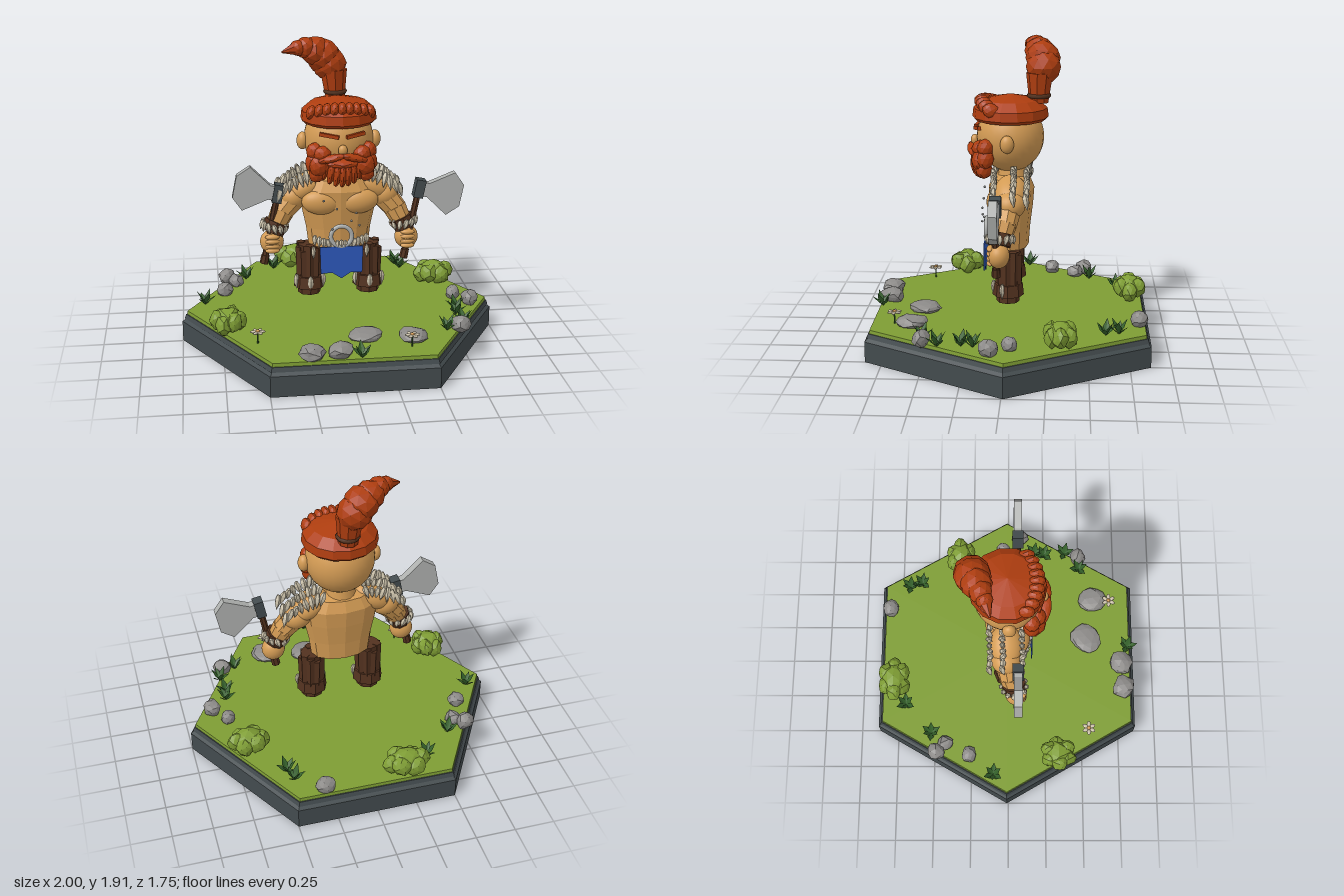
import * as THREE from 'three';

const mat = (name, color) => Object.assign(new THREE.MeshStandardMaterial({ color }), { name });
const M = {
  skin: mat('skin', 0xd39b54), hair: mat('hair', 0xae3d0f), bone: mat('bone', 0xcbc1aa),
  leather: mat('leather', 0x53321f), cloth: mat('cloth', 0x2d58bb), grass: mat('grass', 0x7e9d34),
  leaf: mat('leaf', 0x34602a), stone: mat('stone', 0x8c8a88), steel: mat('steel', 0xb0b2b0),
  slate: mat('slate', 0x434b4e),
};
M.leaf.side = M.cloth.side = THREE.DoubleSide;

// Faceted copy of a geometry
function flat(g) {
  const f = g.index ? g.toNonIndexed() : g;
  f.computeVertexNormals();
  return f;
}
function add(parent, name, geo, material, pos = [0, 0, 0], scale = [1, 1, 1], rot = [0, 0, 0]) {
  const m = new THREE.Mesh(geo, material);
  m.name = name;
  m.position.set(...pos);
  m.scale.set(...scale);
  m.rotation.set(...rot);
  parent.add(m);
  return m;
}
// Lumpy low-poly ball: each corner is pushed in or out by a rule of its direction
function lump(seed, amount = 0.12, detail = 1) {
  const g = new THREE.IcosahedronGeometry(1, detail), p = g.attributes.position;
  const v = new THREE.Vector3();
  for (let i = 0; i < p.count; i++) {
    v.fromBufferAttribute(p, i);
    const k = 1 + amount * Math.sin(v.x * 7.1 + seed * 2.3) * Math.cos(v.y * 5.3 + v.z * 6.7 + seed);
    p.setXYZ(i, v.x * k, v.y * k, v.z * k);
  }
  return flat(g);
}
const lathe = (pts, n) => new THREE.LatheGeometry(pts.map(p => new THREE.Vector2(...p)), n);
const ball = new THREE.SphereGeometry(1, 28, 18);
const blob = lump(1, 0.05);
const tuft = flat(lathe([[0, -0.5], [0.3, -0.05], [0.32, 0.2], [0.18, 0.45], [0, 0.5]], 5));

// Tapered limb between two points
function limb(parent, name, material, a, b, ra, rb, sides) {
  const A = new THREE.Vector3(...a), B = new THREE.Vector3(...b), d = B.clone().sub(A);
  const m = add(parent, name, flat(new THREE.CylinderGeometry(rb, ra, d.length(), sides)), material);
  m.position.copy(A).add(B).multiplyScalar(0.5);
  m.quaternion.setFromUnitVectors(new THREE.Vector3(0, 1, 0), d.normalize());
  return m;
}
function group(parent, name) {
  const g = new THREE.Group();
  g.name = name;
  parent.add(g);
  return g;
}

function buildBase(root) {
  const g = group(root, 'base');
  g.position.z = -0.01;
  const hex = (name, rTop, rBot, y0, y1, m) => add(g, name,
    flat(new THREE.CylinderGeometry(rTop, rBot, y1 - y0, 6)), m, [0, (y0 + y1) / 2, 0], [1, 1, 1], [0, Math.PI / 2, 0]);
  hex('plinth', 1, 1, 0, 0.13, M.slate);
  hex('plinthBevel', 0.975, 1, 0.13, 0.15, M.slate);
  hex('plinthRim', 0.975, 0.985, 0.15, 0.178, M.slate);
  hex('lawn', 0.965, 0.968, 0.178, 0.2, M.grass);
}

function buildScenery(root) {
  const g = group(root, 'scenery');
  // x, z, radius, height
  [[0.31, -0.81, 0.062, 0.1], [-0.7, -0.48, 0.06, 0.1], [-0.64, -0.42, 0.055, 0.08], [-0.72, -0.26, 0.055, 0.09],
    [0.755, -0.035, 0.05, 0.09], [0.84, 0.08, 0.06, 0.1], [0.695, 0.485, 0.058, 0.1], [0.1, 0.53, 0.11, 0.06],
    [0.38, 0.58, 0.1, 0.07], [-0.25, 0.78, 0.08, 0.09], [-0.08, 0.765, 0.082, 0.09]].forEach(([x, z, r, h], i) =>
    add(g, 'rock', lump(i, 0.12), M.stone, [x, 0.195 + h * 0.42, z], [r, h * 0.55, r * 0.88], [0, i, 0]));

  // Bushes: a ring of lumps around a taller core
  [[-0.21, -0.77, 0.145, 0.105], [0.68, -0.33, 0.13, 0.1], [-0.72, 0.33, 0.11, 0.115]].forEach(([x, z, rx, rz], i) => {
    const b = group(g, 'bush');
    add(b, 'bushCore', lump(i, 0.1), M.grass, [x, 0.275, z], [rx * 0.75, 0.075, rz * 0.8]);
    for (let k = 0; k < 6; k++) {
      const a = k * Math.PI / 3 + i;
      add(b, 'bushLump', lump(k + i), M.grass,
        [x + Math.cos(a) * rx * 0.58, 0.262 + 0.015 * (k % 2), z + Math.sin(a) * rz * 0.58], [rx * 0.45, 0.062, rz * 0.48]);
    }
  });

  // Leafy weeds: folded blades fanning outwards
  const blade = new THREE.BufferGeometry();
  blade.setAttribute('position', new THREE.Float32BufferAttribute([
    0, 0, 0, 0.03, 0.045, 0.014, 0.03, 0.035, 0, 0.03, 0.045, 0.014, 0.068, 0.085, 0, 0.03, 0.035, 0,
    0, 0, 0, 0.03, 0.035, 0, 0.03, 0.045, -0.014, 0.03, 0.035, 0, 0.068, 0.085, 0, 0.03, 0.045, -0.014], 3));
  blade.computeVertexNormals();
  [[-0.37, -0.69], [-0.57, -0.515], [-0.85, -0.1], [0.475, -0.68], [0.5, -0.6], [0.73, 0.18], [0.715, 0.25],
    [0.73, 0.39], [0.61, 0.49], [0.04, 0.81]].forEach(([x, z], i) => {
    const w = group(g, 'weed');
    w.position.set(x, 0.2, z);
    for (let k = 0; k < 6; k++) {
      const s = k % 2 ? 0.8 : 1;
      add(w, 'weedLeaf', blade, M.leaf, [0, 0, 0], [s, k % 2 ? 1.1 : 0.75, 1.5], [0, k * Math.PI / 3 + i, 0]);
    }
  });

  // Flowers
  for (const [x, z] of [[-0.55, 0.535], [0.355, 0.69]]) {
    const f = group(g, 'flower');
    limb(f, 'flowerStem', M.leaf, [x, 0.2, z], [x, 0.27, z], 0.005, 0.005, 5);
    add(f, 'flowerHeart', blob, M.skin, [x, 0.278, z], [0.013, 0.01, 0.013]);
    for (let k = 0; k < 6; k++) {
      const a = k * Math.PI / 3;
      add(f, 'petal', blob, M.bone, [x + Math.cos(a) * 0.028, 0.274, z + Math.sin(a) * 0.028], [0.019, 0.007, 0.013], [0, -a, 0]);
    }
  }
}

function buildBody(root) {
  const g = group(root, 'body');
  add(g, 'torso', flat(lathe([[0, 0.62], [0.19, 0.62], [0.205, 0.74], [0.235, 0.88], [0.25, 0.99], [0.2, 1.06], [0, 1.09]], 12)),
    M.skin, [0, 0, -0.012], [1, 1, 0.57]);
  add(g, 'neck', new THREE.CylinderGeometry(0.08, 0.1, 0.12, 16), M.skin, [0, 1.09, -0.02]);
  // Fur belt, ring buckle and loincloth
  for (let i = -6; i <= 6; i++) {
    const x = i * 0.027, y = 0.655 + 0.025 * (i / 6) ** 2;
    add(g, 'beltFur', tuft, M.bone, [x, y, 0.145 - 1.4 * x * x], [0.055, 0.075, 0.05], [0, i, i % 2 * 0.25]);
  }
  add(g, 'buckleRing', new THREE.TorusGeometry(0.066, 0.014, 8, 20), M.steel, [0, 0.715, 0.145]);
  const cloth = new THREE.Shape([[-0.135, 0.65], [-0.13, 0.475], [-0.06, 0.48], [0, 0.44], [0.06, 0.48], [0.13, 0.475], [0.135, 0.65]]
    .map(p => new THREE.Vector2(...p)));
  add(g, 'loincloth', new THREE.ExtrudeGeometry(cloth, { depth: 0.008, bevelEnabled: false }), M.cloth, [0, 0, 0.148]);
  // Chest studs
  [[-0.11, 0.955], [0.09, 0.87], [0.06, 0.82], [0.11, 0.79], [-0.03, 0.9], [-0.06, 0.77]].forEach(([x, y]) =>
    add(g, 'stud', blob, M.steel, [x, y, 0.165], [0.008, 0.008, 0.008]));

  for (const s of [1, -1]) {
    add(g, 'chestMuscle', ball, M.skin, [s * 0.115, 0.92, 0.075], [0.125, 0.08, 0.062], [0, 0, s * 0.08]);
    // Arm, bracer and hand
    const arm = group(g, s > 0 ? 'leftArm' : 'rightArm');
    add(arm, 'shoulder', ball, M.skin, [s * 0.285, 0.94, -0.015], [0.095, 0.085, 0.095]);
    limb(arm, 'upperArm', M.skin, [s * 0.27, 0.95, -0.01], [s * 0.37, 0.83, 0.01], 0.085, 0.07, 9);
    limb(arm, 'forearm', M.skin, [s * 0.355, 0.85, 0.01], [s * 0.41, 0.74, 0.035], 0.075, 0.06, 9);
    limb(arm, 'bracer', M.leather, [s * 0.39, 0.79, 0.03], [s * 0.42, 0.725, 0.04], 0.08, 0.07, 9);
    for (let k = 0; k < 12; k++) {
      const a = k * Math.PI / 6;
      add(arm, 'wristFur', tuft, M.bone, [s * (0.41 + 0.075 * Math.cos(a)), 0.762 + 0.015 * Math.cos(a), 0.035 + 0.078 * Math.sin(a)],
        [0.055, 0.07, 0.055], [0, k, s * 0.3]);
    }
    add(arm, 'hand', ball, M.skin, [s * 0.425, 0.665, 0.045], [0.074, 0.076, 0.066]);
    for (let k = 0; k < 4; k++)
      add(arm, 'finger', ball, M.skin, [s * 0.425, 0.71 - k * 0.03, 0.095], [0.045, 0.017, 0.022]);
    // Fur rows running from the neck over the shoulder
    [[0.085, 0], [-0.035, 0.015], [-0.115, 0]].forEach(([z, dy]) => {
      for (let k = 0; k < 8; k++)
        add(g, 'shoulderFur', tuft, M.bone, [s * (0.14 + k * 0.034), 1.095 + dy - k * 0.004 - 0.0017 * k * k, z],
          [0.062, 0.105, 0.06], [0, k, s * 0.3]);
    });
    add(g, 'shoulderPad', ball, M.skin, [s * 0.21, 1.0, -0.015], [0.14, 0.08, 0.1], [0, 0, -s * 0.5]);

    // Leg: strapped planks, cuff, shoe and claws
    const leg = group(g, s > 0 ? 'leftLeg' : 'rightLeg'), x = s * 0.188;
    add(leg, 'legCore', flat(new THREE.CylinderGeometry(0.07, 0.065, 0.3, 10)), M.leather, [x, 0.475, -0.005]);
    for (let k = 0; k < 9; k++) {
      const a = k * Math.PI * 2 / 9, h = 0.23 - 0.02 * (k % 3);
      add(leg, 'legPlank', flat(new THREE.CylinderGeometry(0.03, 0.024, h, 5)), M.leather,
        [x + Math.sin(a) * 0.058, 0.4 + h / 2, -0.005 + Math.cos(a) * 0.058], [1, 1, 1], [0, a, 0]);
    }
    add(leg, 'bootCuff', flat(new THREE.CylinderGeometry(0.09, 0.098, 0.075, 8)), M.leather, [x, 0.382, 0]);
    add(leg, 'shoe', flat(new THREE.CylinderGeometry(0.072, 0.072, 0.05, 8)), M.leather, [x, 0.327, 0]);
    for (const a of [-1.2, 0, 1.2])
      add(leg, 'bootClaw', tuft, M.bone, [x + Math.sin(a) * 0.09, 0.385, Math.cos(a) * 0.09], [0.06, 0.1, 0.05]);
    add(leg, 'kneeClaw', tuft, M.bone, [x - s * 0.02, 0.59, 0.085], [0.045, 0.09, 0.04]);
  }
}

function buildAxe(root, s) {
  const g = group(root, s > 0 ? 'leftAxe' : 'rightAxe');
  g.position.set(s > 0 ? 0.5 : -0.385, 0.985, 0.06);
  g.rotation.z = -0.2;
  limb(g, 'axeHandle', M.leather, [0, -0.46, 0], [0, 0.05, 0], 0.022, 0.02, 7);
  limb(g, 'axePommel', M.leather, [0, -0.465, 0], [0, -0.41, 0], 0.028, 0.026, 7);
  add(g, 'axeSocket', new THREE.BoxGeometry(0.06, 0.115, 0.07), M.slate);
  const half = [[0.03, 0.045], [0.055, 0.045], [0.2, 0.14], [0.272, 0.07]];
  const pts = [...half, ...half.map(([x, y]) => [x, -y]).reverse()].map(([x, y]) => new THREE.Vector2(s * x, y));
  add(g, 'axeBlade', new THREE.ExtrudeGeometry(new THREE.Shape(pts), { depth: 0.052, bevelEnabled: false }),
    M.steel, [0, 0, -0.026]);
}

function buildHead(root) {
  const g = group(root, 'head');
  add(g, 'skull', ball, M.skin, [0, 1.31, -0.005], [0.215, 0.22, 0.208]);
  add(g, 'nose', ball, M.skin, [0, 1.285, 0.215], [0.028, 0.034, 0.026]);
  // Hair cap and fringe
  add(g, 'hairCap', flat(lathe([[0, 1.415], [0.215, 1.415], [0.235, 1.435], [0.228, 1.49], [0.17, 1.54], [0, 1.575]], 14)),
    M.hair, [0, 0, -0.005]);
  for (let i = -4; i <= 4; i++) {
    const x = i * 0.045;
    add(g, 'fringeLock', blob, M.hair, [x, 1.525 - 0.0018 * i * i, 0.165 - 1.9 * x * x], [0.03, 0.045, 0.055], [-0.4, 0, i * 0.06]);
  }
  // Swept topknot: x, y, z, radius
  add(g, 'topknotTie', new THREE.TorusGeometry(0.062, 0.014, 6, 14), M.leather, [0, 1.565, -0.18], [1, 1, 1], [Math.PI / 2, 0, 0]);
  limb(g, 'topknotStem', M.hair, [0, 1.52, -0.18], [-0.01, 1.7, -0.185], 0.06, 0.085, 9);
  [[-0.035, 1.735, -0.205, 0.108], [-0.075, 1.785, -0.2, 0.107], [-0.125, 1.82, -0.18, 0.092], [-0.185, 1.845, -0.155, 0.068],
    [-0.235, 1.848, -0.132, 0.05]].forEach(([x, y, z, r], i) => add(g, 'topknotLump', lump(i, 0.05), M.hair, [x, y, z], [r, r, r]));
  limb(g, 'topknotTip', M.hair, [-0.24, 1.848, -0.13], [-0.335, 1.83, -0.1], 0.048, 0.006, 7);

  for (const s of [1, -1]) {
    add(g, 'ear', ball, M.skin, [s * 0.225, 1.3, 0.005], [0.036, 0.055, 0.042]);
    add(g, 'eyebrow', new THREE.BoxGeometry(0.12, 0.022, 0.02), M.hair, [s * 0.08, 1.372, 0.195], [1, 1, 1], [0, s * 0.3, s * 0.14]);
    // Moustache and cheek beard
    add(g, 'moustache', blob, M.hair, [s * 0.068, 1.238, 0.222], [0.09, 0.024, 0.036], [0, s * 0.2, -s * 0.25]);
    [[0.165, 1.265, 0.14, 0.05, 0.055], [0.12, 1.255, 0.175, 0.055, 0.05], [0.175, 1.2, 0.14, 0.045, 0.065],
      [0.14, 1.185, 0.175, 0.06, 0.07], [0.15, 1.13, 0.15, 0.05, 0.06]].forEach(([x, y, z, r, h]) =>
      add(g, 'cheekBeard', blob, M.hair, [s * x, y, z], [r, h, 0.052], [0, 0, s * 0.2]));
  }
  // Hanging chin locks
  for (let i = -3; i <= 3; i++)
    add(g, 'beardLock', blob, M.hair, [i * 0.034, 1.13 + 0.004 * i * i, 0.195 - 0.004 * i * i], [0.024, 0.09, 0.05], [0.15, 0, i * 0.05]);
  add(g, 'lowerLip', blob, M.hair, [0, 1.195, 0.19], [0.1, 0.03, 0.055]);
}

export function createModel() {
  const root = new THREE.Group();
  root.name = 'axeWarrior';
  buildBase(root);
  buildScenery(root);
  buildBody(root);
  buildAxe(root, 1);
  buildAxe(root, -1);
  buildHead(root);
  return root;
}
